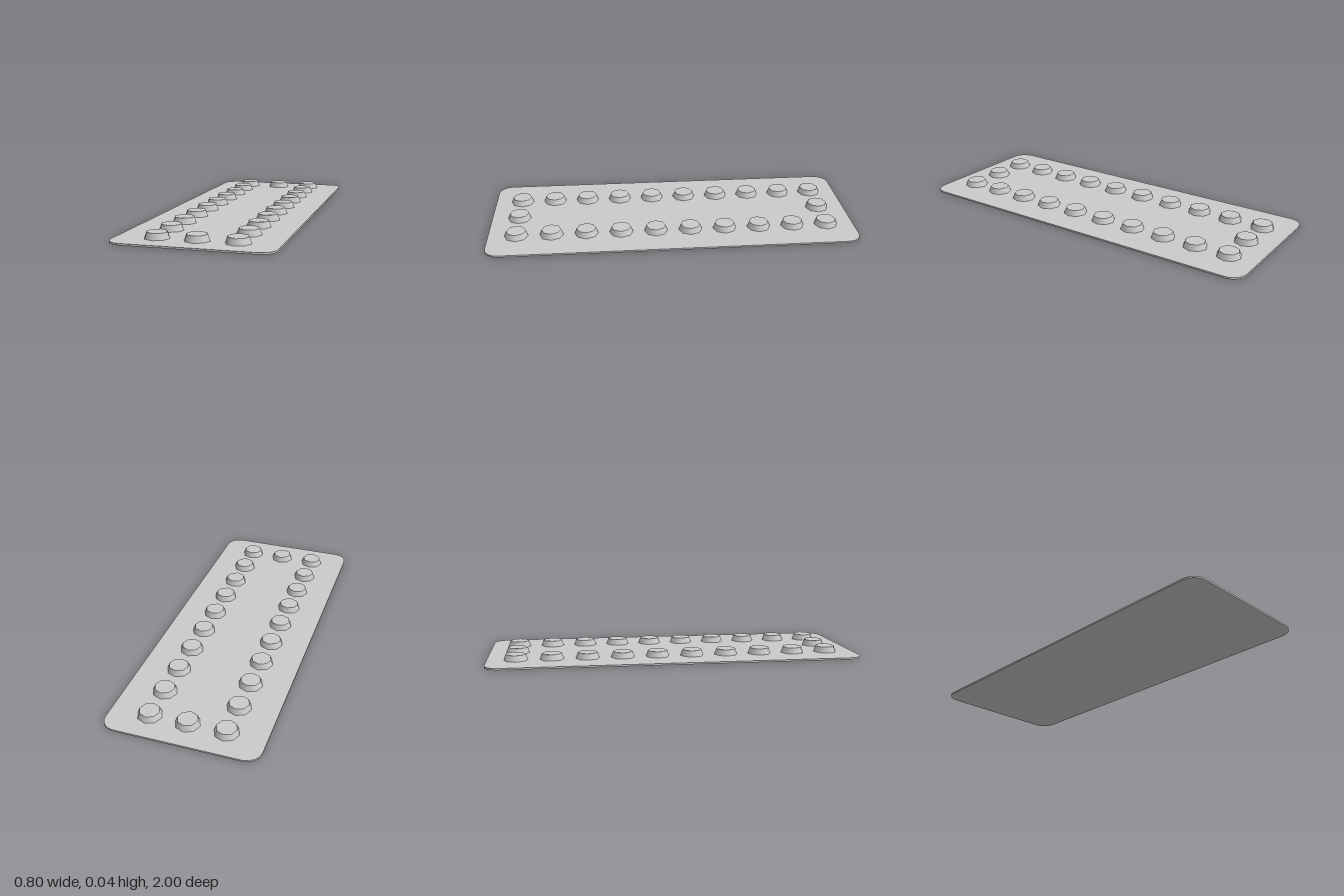
import * as THREE from 'three';

const material = new THREE.MeshStandardMaterial({ color: 0xcccccc });
const THICK = 0.009;

// Thin plate with rounded corners made of two facets each
function makePlate() {
  const w = 0.4, l = 1, r = 0.076;
  const shape = new THREE.Shape();
  shape.absarc(w - r, l - r, r, 0, Math.PI / 2);
  shape.absarc(-w + r, l - r, r, Math.PI / 2, Math.PI);
  shape.absarc(-w + r, -l + r, r, Math.PI, Math.PI * 1.5);
  shape.absarc(w - r, -l + r, r, Math.PI * 1.5, Math.PI * 2);
  const geometry = new THREE.ExtrudeGeometry(shape, { depth: THICK, bevelEnabled: false, curveSegments: 2 });
  geometry.rotateX(-Math.PI / 2);
  const plate = new THREE.Mesh(geometry, material);
  plate.name = 'basePlate';
  return plate;
}

// Eight-sided tapered stud: body and a narrow chamfered cap
const bodyGeometry = new THREE.CylinderGeometry(0.053, 0.064, 0.031, 8, 1, true).translate(0, THICK + 0.0155, 0);
const capGeometry = new THREE.CylinderGeometry(0.049, 0.053, 0.0025, 8).translate(0, THICK + 0.03225, 0);

function makeStud(x, z) {
  const stud = new THREE.Group();
  stud.name = 'stud';
  const body = new THREE.Mesh(bodyGeometry, material);
  body.name = 'studBody';
  const cap = new THREE.Mesh(capGeometry, material);
  cap.name = 'studCap';
  stud.add(body, cap);
  stud.position.set(x, 0, z);
  return stud;
}

export function createModel() {
  const model = new THREE.Group();
  model.name = 'studdedPlate';
  model.add(makePlate());

  // Two long rows of studs, closed by one stud at each end
  const rows = 10, reach = 0.847;
  for (let i = 0; i < rows; i++) {
    const z = -reach + (2 * reach * i) / (rows - 1);
    const atEnd = i === 0 || i === rows - 1;
    for (const x of atEnd ? [-0.198, 0, 0.198] : [-0.198, 0.198]) model.add(makeStud(x, z));
  }
  return model;
}
